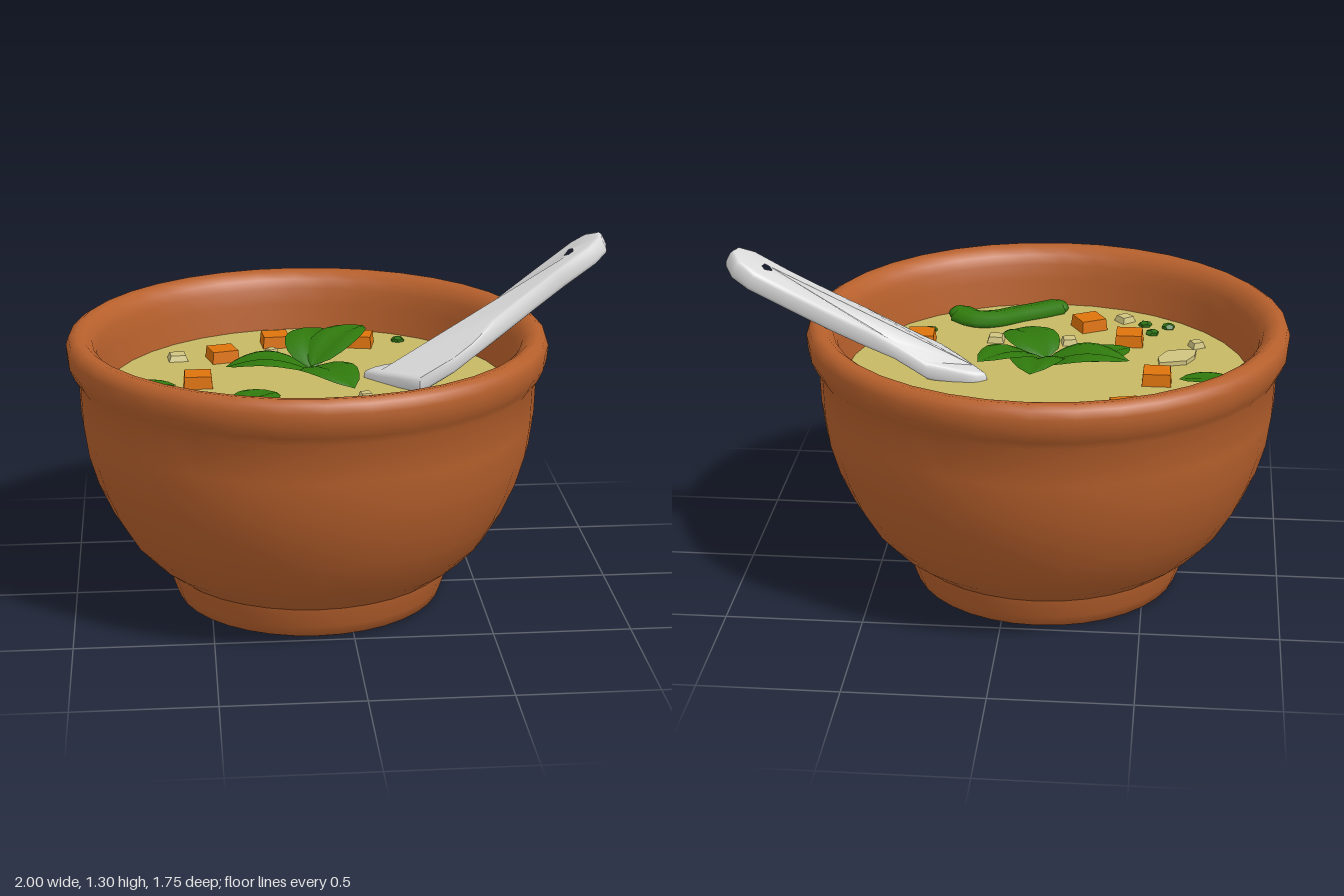
import * as THREE from 'three';
import { toCreasedNormals } from 'three/addons/utils/BufferGeometryUtils.js';

const mat = (name, color, side = THREE.FrontSide) => {
  const m = new THREE.MeshStandardMaterial({ color, side });
  m.name = name;
  return m;
};

const CX = -0.13;    // bowl axis
const SOUP = 0.8;    // soup level

export function createModel() {
  const group = new THREE.Group();
  const clay = mat('terracotta', 0xb7602c);
  const broth = mat('soup', 0xc6b864);
  const orange = mat('carrot orange', 0xde730c);
  const cream = mat('cream', 0xd0c480);
  const green = mat('leaf green', 0x2f780c, THREE.DoubleSide);
  const darkGreen = mat('herb green', 0x2c6e14);
  const red = mat('rust red', 0xb0522a);
  const metal = mat('spoon metal', 0xdadada);

  const add = (name, geo, material, x = 0, y = 0, z = 0) => {
    const mesh = new THREE.Mesh(geo, material);
    mesh.name = name;
    mesh.position.set(x, y, z);
    group.add(mesh);
    return mesh;
  };
  const lathe = (pts) =>
    toCreasedNormals(new THREE.LatheGeometry(pts.map(p => new THREE.Vector2(...p)), 36), 0.8);
  // Flat plan outline (x, z) raised to a plate
  const plan = (pts) => pts.map(([x, z]) => new THREE.Vector2(x, -z));

  // Bowl body: outer wall, rolled rim, inner wall
  add('bowl', lathe([
    [0.525, 0.135], [0.6, 0.195], [0.665, 0.265], [0.73, 0.375], [0.78, 0.49], [0.812, 0.6],
    [0.828, 0.72], [0.833, 0.86], [0.852, 0.89], [0.87, 0.93], [0.874, 0.98], [0.864, 1.01],
    [0.84, 1.025], [0.81, 1.02], [0.78, 0.995], [0.765, 0.96], [0.755, 0.9], [0.738, 0.77],
  ]), clay, CX);

  // Foot ring with closed base
  add('foot', lathe([
    [0.001, 0.008], [0.465, 0.008], [0.49, 0.02], [0.505, 0.06], [0.525, 0.12], [0.53, 0.145],
  ]), clay, CX);

  // Soup surface
  const soup = new THREE.CircleGeometry(0.748, 36);
  soup.rotateX(-Math.PI / 2);
  add('soup', soup, broth, CX, SOUP);

  // Spoon: plan outline with a hanging hole, bent upward along x
  const shape = new THREE.Shape(plan([
    [0.085, -0.085], [0.12, -0.11], [0.16, -0.115], [0.3, -0.11], [0.42, -0.115], [0.52, -0.155],
    [0.62, -0.195], [0.76, -0.24], [0.9, -0.28], [0.96, -0.265], [0.995, -0.2], [0.985, -0.14],
    [0.94, -0.095], [0.82, -0.07], [0.7, -0.03], [0.57, 0.02], [0.47, 0.075], [0.4, 0.1],
    [0.27, 0.12], [0.2, 0.05], [0.13, -0.03],
  ]));
  shape.holes.push(new THREE.Path(plan([
    [0.84, -0.175], [0.88, -0.225], [0.91, -0.195], [0.905, -0.145], [0.865, -0.135],
  ])));
  const spoon = new THREE.ExtrudeGeometry(shape, {
    depth: 0.034, bevelEnabled: true, bevelSize: 0.016, bevelOffset: -0.016,
    bevelThickness: 0.016, bevelSegments: 2,
  });
  spoon.rotateX(-Math.PI / 2);
  const sp = spoon.attributes.position;
  for (let i = 0; i < sp.count; i++) {
    const x = sp.getX(i), y = sp.getY(i);
    const rise = x < 0.3 ? 0.8 + 0.17 * (x - 0.3) : 0.8 + 0.645 * (x - 0.3);
    sp.setY(i, y + rise + 0.016);
    // keep the handle's thickness square to its slope
    if (x > 0.5) sp.setX(i, x - (y - 0.01) * 0.5);
  }
  add('spoon', toCreasedNormals(spoon, 0.9), metal);

  // Leaves: base and tip on plan, width, base height, tip lift, arch
  const leaf = (name, [x0, z0], [x1, z1], width, base, lift, arch = 0.035) => {
    const len = Math.hypot(x1 - x0, z1 - z0);
    const geo = new THREE.PlaneGeometry(1, 1, 8, 6);
    geo.rotateX(-Math.PI / 2);
    const p = geo.attributes.position;
    for (let i = 0; i < p.count; i++) {
      const t = p.getX(i) + 0.5, s = p.getZ(i) * 2;
      const half = width / 2 * Math.pow(Math.sin(Math.PI * Math.pow(t, 0.85)), 0.7) || 0;
      const fold = half * (0.5 * Math.abs(s) - 0.45 * s * s);
      p.setXYZ(i, t * len, base + lift * t + arch * Math.sin(Math.PI * t) + fold, s * half);
    }
    geo.computeVertexNormals();
    add(name, geo, green, x0, SOUP, z0).rotation.y = -Math.atan2(z1 - z0, x1 - x0);
  };
  const heart = [-0.115, -0.03];
  leaf('basilLeafBack', heart, [-0.09, -0.33], 0.2, 0.055, 0.07);
  leaf('basilLeafBackLeft', heart, [0.1, -0.275], 0.18, 0.065, 0.08);
  leaf('basilLeafRight', heart, [-0.43, -0.03], 0.2, 0.05, 0.02);
  leaf('basilLeafFront', [-0.13, -0.01], [0.02, 0.26], 0.2, 0.06, 0.01);
  leaf('basilLeafLoose', [-0.25, 0.1], [-0.42, 0.26], 0.16, 0.012, 0, 0.008);
  leaf('sideLeaf', [-0.61, -0.03], [-0.83, -0.02], 0.1, 0.006, 0, 0.008);

  // Pepper strip: a curved, flattened tube with rounded ends
  const curve = new THREE.CatmullRomCurve3([
    [-0.12, 0, 0.675], [-0.05, 0, 0.625], [0.03, 0, 0.575], [0.11, 0.01, 0.51],
    [0.19, 0.025, 0.485], [0.25, 0.04, 0.52],
  ].map(p => new THREE.Vector3(...p)));
  const pepper = new THREE.TubeGeometry(curve, 16, 0.06, 8);
  pepper.scale(1, 0.5, 1);
  add('pepperStrip', pepper, green, 0, SOUP + 0.012);
  for (const t of [0, 1]) {
    const end = curve.getPoint(t);
    add('pepperEnd', new THREE.SphereGeometry(0.056, 8, 6), green,
      end.x, SOUP + 0.012 + end.y / 2, end.z).scale.set(0.8, 0.5, 0.9);
  }

  // Diced pieces: slightly tapered blocks
  const dice = (name, material, x, z, w, h, turn, taper = 0.9) => {
    const geo = new THREE.CylinderGeometry(Math.SQRT1_2 * taper, Math.SQRT1_2, 1, 4).toNonIndexed();
    geo.rotateY(Math.PI / 4);
    geo.computeVertexNormals();
    const mesh = add(name, geo, material, x, SOUP + h / 2 - 0.01, z);
    mesh.scale.set(w, h, w);
    mesh.rotation.y = turn;
  };
  [[-0.22, -0.53, 0.08], [0.105, -0.505, -0.2], [-0.43, -0.355, 0.25], [-0.53, -0.045, 0],
    [0.37, 0.275, 0.05], [-0.415, 0.34, 0], [-0.255, 0.49, 0.5]]
    .forEach(([x, z, turn]) => dice('carrotCube', orange, x, z, 0.108, 0.055, turn));
  [[-0.6, -0.37, 0.08, 0.1], [-0.24, -0.41, 0.045, 0.6], [-0.06, 0.37, 0.1, -0.5],
    [0.09, 0.32, 0.07, 0], [-0.19, 0.315, 0.065, 0.2], [0.07, 0.16, 0.05, 0.2],
    [-0.67, 0.32, 0.055, 0.5], [-0.39, 0.575, 0.065, 0.7]]
    .forEach(([x, z, w, turn]) => dice('potatoPiece', cream, x, z, w, 0.032, turn, 0.7));
  dice('redPiece', red, -0.04, -0.48, 0.045, 0.03, 0.7, 0.7);

  // Thin almond-shaped slice
  const slice = new THREE.ExtrudeGeometry(new THREE.Shape(plan([
    [-0.67, 0.25], [-0.665, 0.19], [-0.635, 0.13], [-0.535, 0.1], [-0.53, 0.16], [-0.56, 0.225],
    [-0.61, 0.245],
  ])), { depth: 0.016, bevelEnabled: false });
  slice.rotateX(-Math.PI / 2);
  add('flatSlice', slice, cream, 0, SOUP);

  // Chopped herbs
  [[0.26, -0.54], [0.34, -0.31], [0.48, -0.28], [0.35, 0.4], [-0.5, 0.44], [-0.56, 0.51],
    [-0.47, 0.53]].forEach(([x, z], i) => {
    const mesh = add('herbBit', new THREE.DodecahedronGeometry(0.027), darkGreen, x, SOUP + 0.004, z);
    mesh.scale.y = 0.6;
    mesh.rotation.y = i;
  });

  return group;
}
